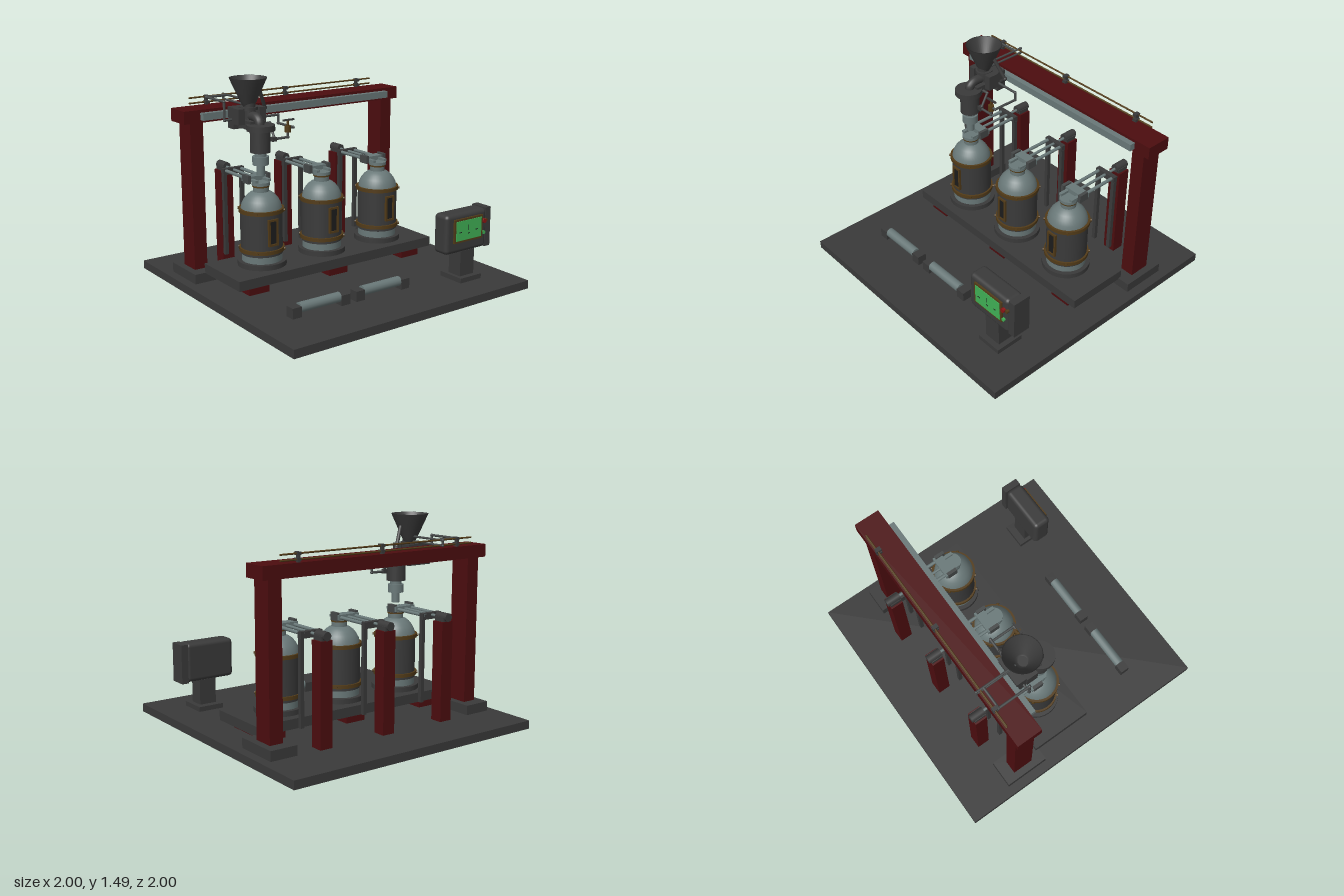
import * as THREE from 'three';
import { RoundedBoxGeometry } from 'three/addons/geometries/RoundedBoxGeometry.js';

const mat = (name, color) => Object.assign(new THREE.MeshStandardMaterial({ color }), { name });
const V = (p) => new THREE.Vector3(...p);

export function createModel() {
  const root = new THREE.Group();
  root.name = 'fillingStation';
  const dark = mat('dark grey', 0x3a3a3a), red = mat('dark red', 0x4c0d0f), steel = mat('steel', 0x697878);
  const brass = mat('brass', 0x523b18), green = mat('screen green', 0x40b055), black = mat('black', 0x1c1c1c);
  const buttonRed = mat('button red', 0x8a1515), pipeGrey = mat('pipe grey', 0x454848);

  const add = (parent, name, geo, m) => {
    const mesh = new THREE.Mesh(geo, m);
    mesh.name = name;
    parent.add(mesh);
    return mesh;
  };
  const group = (name, x = 0, y = 0, z = 0) => {
    const g = new THREE.Group();
    g.name = name;
    g.position.set(x, y, z);
    root.add(g);
    return g;
  };
  // box given by its limits on each axis
  const box = (p, name, m, x0, x1, y0, y1, z0, z1) => {
    const b = add(p, name, new THREE.BoxGeometry(x1 - x0, y1 - y0, z1 - z0), m);
    b.position.set((x0 + x1) / 2, (y0 + y1) / 2, (z0 + z1) / 2);
    return b;
  };
  // upright cylinder from y0 to y1
  const can = (p, name, m, r, y0, y1, x = 0, z = 0, rTop = r) => {
    const c = add(p, name, new THREE.CylinderGeometry(rTop, r, y1 - y0, 32), m);
    c.position.set(x, (y0 + y1) / 2, z);
    return c;
  };
  // round bar between two points
  const rod = (p, name, m, r, a, b) => {
    const d = V(b).sub(V(a));
    const c = add(p, name, new THREE.CylinderGeometry(r, r, d.length(), 14), m);
    c.position.copy(V(a).addScaledVector(d, 0.5));
    c.quaternion.setFromUnitVectors(new THREE.Vector3(0, 1, 0), d.normalize());
    return c;
  };
  // pipe with square turns
  const pipe = (p, name, m, r, pts) => {
    for (let i = 1; i < pts.length; i++) {
      rod(p, name, m, r, pts[i - 1], pts[i]);
      add(p, name + 'Joint', new THREE.SphereGeometry(r * 1.25, 12, 8), m).position.copy(V(pts[i]));
    }
  };
  const lathe = (p, name, m, pts) =>
    add(p, name, new THREE.LatheGeometry(pts.map((q) => new THREE.Vector2(...q)), 40), m);

  // floor slab and vessel platform
  box(root, 'baseSlab', dark, -1, 1, 0, 0.06, -1, 1);
  box(root, 'platform', dark, -0.845, 0.842, 0.12, 0.19, -0.34, 0.13);
  for (const x of [-0.67, 0, 0.67]) box(root, 'platformSupport', red, x - 0.08, x + 0.08, 0.06, 0.12, -0.3, 0.1);

  // gantry
  const gantry = group('gantry');
  for (const s of [-1, 1]) {
    const x = s * 0.835;
    box(gantry, 'gantryFoot', dark, x - 0.1, x + 0.1, 0.06, 0.13, -0.65, -0.315);
    box(gantry, 'gantryColumn', red, x - 0.05, x + 0.05, 0.13, 1.18, -0.565, -0.41);
  }
  box(gantry, 'gantryBeam', red, -0.935, 0.935, 1.18, 1.27, -0.585, -0.397);
  box(gantry, 'slideRail', steel, -0.81, 0.81, 1.2, 1.25, -0.397, -0.355);
  for (const y of [1.288, 1.326]) rod(gantry, 'supplyLine', brass, 0.006, [-0.8, y, -0.572], [0.8, y, -0.572]);
  for (const x of [-0.665, 0, 0.665]) {
    box(gantry, 'lineBracket', dark, x - 0.008, x + 0.008, 1.27, 1.335, -0.585, -0.56);
    for (const y of [1.288, 1.326]) box(gantry, 'lineClamp', dark, x - 0.015, x + 0.015, y - 0.01, y + 0.01, -0.585, -0.545);
  }

  // three vessels, each with its clamp arm and rear column
  for (const x of [-0.515, 0, 0.515]) {
    const v = group('vessel', x, 0, -0.107);
    can(v, 'vesselBase', dark, 0.172, 0.19, 0.226);
    can(v, 'vesselSkirt', steel, 0.142, 0.226, 0.3);
    can(v, 'vesselJacket', dark, 0.146, 0.275, 0.6);
    for (const y of [0.308, 0.588]) {
      can(v, 'vesselBand', brass, 0.159, y - 0.013, y + 0.013);
      for (let i = 0; i < 4; i++) {
        const a = Math.PI / 4 + i * Math.PI / 2;
        rod(v, 'bandBolt', brass, 0.01, [Math.cos(a) * 0.15, y, Math.sin(a) * 0.15], [Math.cos(a) * 0.168, y, Math.sin(a) * 0.168]);
      }
    }
    lathe(v, 'vesselDome', steel, [[0.143, 0.6], [0.137, 0.63], [0.122, 0.66], [0.1, 0.688], [0.075, 0.707], [0.055, 0.715]]);
    can(v, 'vesselNeck', steel, 0.055, 0.705, 0.75);
    can(v, 'neckRing', brass, 0.06, 0.748, 0.76);
    can(v, 'vesselLid', steel, 0.064, 0.76, 0.782);

    // framed sight window
    box(v, 'windowPane', black, -0.028, 0.028, 0.37, 0.53, 0.14, 0.15);
    for (const s of [-1, 1]) {
      box(v, 'windowFrameSide', brass, s * 0.032 - 0.007, s * 0.032 + 0.007, 0.355, 0.545, 0.135, 0.157);
      const y = 0.45 + s * 0.088;
      box(v, 'windowFrameEnd', brass, -0.032, 0.032, y - 0.007, y + 0.007, 0.135, 0.157);
    }

    const arm = group('clampArm', x);
    box(arm, 'armColumn', red, -0.048, 0.048, 0.06, 0.77, -0.66, -0.567);
    box(arm, 'armHead', dark, -0.035, 0.035, 0.77, 0.8, -0.655, -0.57);
    rod(arm, 'armActuator', dark, 0.03, [0, 0.8, -0.67], [0, 0.8, -0.565]);
    box(arm, 'armCrossBar', dark, -0.085, 0.085, 0.765, 0.81, -0.5, -0.465);
    rod(arm, 'armPiston', steel, 0.01, [0, 0.795, -0.58], [0, 0.795, -0.19]);
    box(arm, 'armPlate', steel, -0.088, 0.088, 0.778, 0.815, -0.215, -0.145);
    for (const s of [-1, 1]) {
      box(arm, 'armPost', dark, s * 0.072 - 0.014, s * 0.072 + 0.014, 0.17, 0.77, -0.495, -0.467);
      rod(arm, 'armRod', steel, 0.012, [s * 0.063, 0.795, -0.5], [s * 0.063, 0.795, -0.16]);
      box(arm, 'clampJaw', pipeGrey, s * 0.08 - 0.012, s * 0.08 + 0.012, 0.77, 0.828, -0.2, -0.125);
      box(arm, 'clampFinger', steel, s * 0.05 - 0.012, s * 0.05 + 0.012, 0.782, 0.8, -0.145, -0.075);
    }
  }

  // filling head with hopper
  const head = group('fillingHead', -0.515);
  const hopper = lathe(head, 'hopper', dark, [[0.035, 1.28], [0.057, 1.32], [0.131, 1.485], [0.124, 1.485], [0.05, 1.325], [0.02, 1.31], [0, 1.31]]);
  hopper.position.z = -0.248;
  can(head, 'hopperOutlet', dark, 0.04, 1.13, 1.32, 0, -0.235);
  can(head, 'hopperCollar', dark, 0.062, 1.265, 1.285, 0, -0.245);
  box(head, 'carriage', dark, -0.1, 0.1, 1.13, 1.28, -0.36, -0.285);
  box(head, 'carriageArm', dark, -0.06, 0.06, 1.14, 1.2, -0.3, -0.13);
  can(head, 'headCap', dark, 0.098, 1.142, 1.182, 0, -0.095);
  can(head, 'headBody', dark, 0.07, 0.99, 1.145, 0, -0.105);
  can(head, 'nozzleCollar', steel, 0.042, 0.96, 0.99, 0, -0.105);
  can(head, 'nozzleNut', steel, 0.057, 0.903, 0.962, 0, -0.105);
  can(head, 'nozzleSpout', steel, 0.029, 0.828, 0.905, 0, -0.105);
  const bend = new THREE.CatmullRomCurve3([[0, 1.17, -0.105], [0, 1.2, -0.112], [0, 1.222, -0.145], [0, 1.222, -0.24]].map(V));
  add(head, 'feedElbow', new THREE.TubeGeometry(bend, 20, 0.033, 16), dark);
  for (const s of [-1, 1]) box(head, 'sideMotor', dark, s * 0.085 - 0.025, s * 0.085 + 0.025, 1.17, 1.28, -0.285, -0.2);
  // bent brace beside the hopper
  pipe(head, 'hopperBrace', dark, 0.013, [[0.095, 1.4, -0.26], [0.165, 1.255, -0.3], [0.09, 1.185, -0.32]]);

  // supply pipe from the beam, and valve loop
  const pipes = group('pipework');
  pipe(pipes, 'supplyPipe', pipeGrey, 0.009, [[-0.51, 1.325, -0.545], [-0.675, 1.325, -0.545], [-0.675, 1.325, -0.305], [-0.675, 1.195, -0.305], [-0.59, 1.195, -0.305]]);
  pipe(pipes, 'linePipe', pipeGrey, 0.008, [[-0.51, 1.29, -0.3], [-0.51, 1.29, -0.6], [-0.51, 1.326, -0.6], [-0.51, 1.326, -0.3]]);
  pipe(pipes, 'valvePipe', pipeGrey, 0.009, [[-0.43, 1.19, -0.3], [-0.24, 1.19, -0.3], [-0.24, 1.13, -0.3], [-0.24, 1.13, -0.11], [-0.285, 1.13, -0.11], [-0.285, 1.065, -0.11], [-0.4, 1.065, -0.11]]);
  pipe(pipes, 'returnPipe', pipeGrey, 0.009, [[-0.44, 1.17, -0.17], [-0.395, 1.17, -0.17], [-0.395, 1.065, -0.11]]);
  rod(pipes, 'valveBody', brass, 0.022, [-0.285, 1.1, -0.11], [-0.285, 1.145, -0.11]);
  rod(pipes, 'valveStem', brass, 0.008, [-0.285, 1.145, -0.11], [-0.285, 1.185, -0.11]);
  box(pipes, 'valveHandle', dark, -0.325, -0.235, 1.18, 1.192, -0.117, -0.103);
  box(pipes, 'pipeFlange', dark, -0.42, -0.385, 1.05, 1.08, -0.125, -0.095);

  // floor rollers in front
  for (const x of [-0.515, -0.003]) {
    const r = group('floorRoller', x);
    rod(r, 'roller', steel, 0.035, [-0.16, 0.115, 0.578], [0.16, 0.115, 0.578]);
    for (const s of [-1, 1]) box(r, 'rollerBlock', dark, s * 0.194 - 0.036, s * 0.194 + 0.036, 0.06, 0.132, 0.543, 0.613);
  }

  // control panel
  const panel = group('controlPanel');
  box(panel, 'panelFoot', dark, 0.57, 0.765, 0.06, 0.095, 0.555, 0.765);
  box(panel, 'panelStem', dark, 0.598, 0.728, 0.095, 0.28, 0.61, 0.725);
  add(panel, 'panelCase', new RoundedBoxGeometry(0.38, 0.285, 0.135, 4, 0.03), dark).position.set(0.64, 0.418, 0.668);
  box(panel, 'panelSideBox', dark, 0.826, 0.878, 0.275, 0.56, 0.592, 0.725);
  box(panel, 'screenFrame', brass, 0.513, 0.78, 0.355, 0.525, 0.73, 0.748);
  box(panel, 'screen', green, 0.528, 0.765, 0.37, 0.511, 0.747, 0.752);
  for (const [x, y, w, h] of [[0.565, 0.43, 0.02, 0.006], [0.645, 0.415, 0.02, 0.006], [0.72, 0.43, 0.02, 0.006], [0.64, 0.455, 0.004, 0.04]])
    box(panel, 'screenMark', black, x - w / 2, x + w / 2, y - h / 2, y + h / 2, 0.75, 0.754);
  rod(panel, 'stopButton', buttonRed, 0.016, [0.795, 0.475, 0.725], [0.795, 0.475, 0.755]);
  rod(panel, 'selectorKnob', brass, 0.013, [0.82, 0.475, 0.71], [0.82, 0.475, 0.745]);
  rod(panel, 'startButton', green, 0.013, [0.795, 0.39, 0.725], [0.795, 0.39, 0.75]);

  return root;
}
